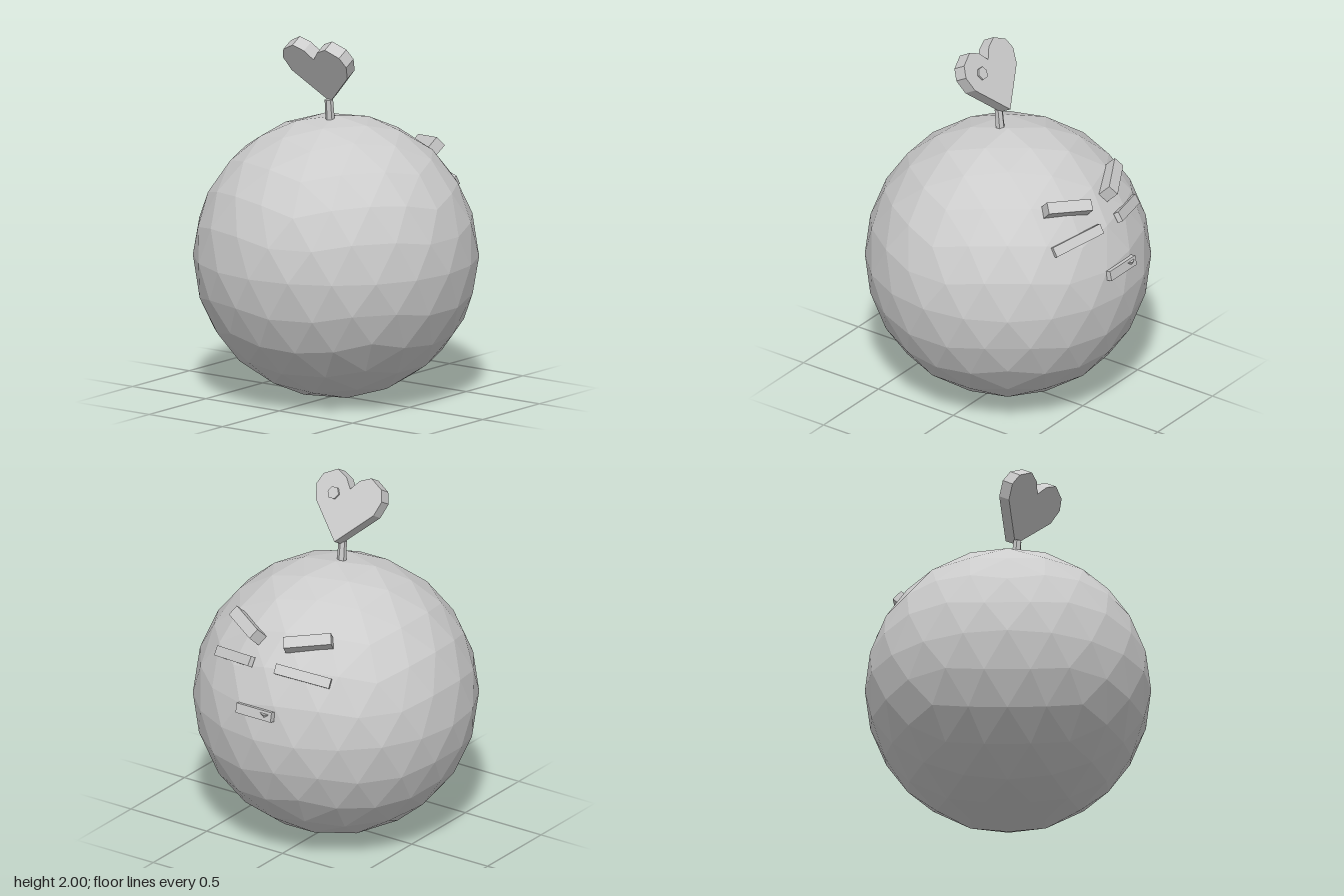
import * as THREE from 'three';

const R = 0.772, CY = 0.774;
const V = (x, y, z) => new THREE.Vector3(x, y, z);

// Icosphere with a vertex at each pole, split twice and pushed out to the sphere
function icosphere(radius, levels) {
  const h = 1 / Math.sqrt(5), r = 2 * h;
  const ring = (i, offset, y) => {
    const a = (i * 72 + offset) * Math.PI / 180;
    return V(r * Math.cos(a), y, -r * Math.sin(a));
  };
  const top = V(0, 1, 0), bottom = V(0, -1, 0);
  let tris = [];
  for (let i = 0; i < 5; i++) {
    const u0 = ring(i, 0, h), u1 = ring(i + 1, 0, h);
    const l0 = ring(i, 36, -h), l1 = ring(i + 1, 36, -h);
    tris.push([top, u0, u1], [u0, l0, u1], [l0, l1, u1], [bottom, l1, l0]);
  }
  const mid = (a, b) => a.clone().add(b).normalize();
  for (let n = 0; n < levels; n++) {
    tris = tris.flatMap(([a, b, c]) => {
      const ab = mid(a, b), bc = mid(b, c), ca = mid(c, a);
      return [[a, ab, ca], [ab, b, bc], [ca, bc, c], [ab, bc, ca]];
    });
  }
  const geo = new THREE.BufferGeometry().setFromPoints(tris.flat().map(p => p.clone().multiplyScalar(radius)));
  geo.computeVertexNormals();
  return geo;
}

export function createModel() {
  const group = new THREE.Group();
  const grey = new THREE.MeshStandardMaterial({ color: 0xcccccc, flatShading: true });
  grey.name = 'plain grey';

  const add = (name, geo, parent = group) => {
    const mesh = new THREE.Mesh(geo, grey);
    mesh.name = name;
    parent.add(mesh);
    return mesh;
  };

  // Round body
  add('body', icosphere(R, 2)).position.y = CY;

  // Bar lying on the body: size is length, height along the surface, thickness
  const bar = (name, centre, along, size) => {
    const mesh = add(name, new THREE.BoxGeometry(...size));
    const x = along.clone().normalize();
    const out = centre.clone().sub(V(0, CY, 0));
    const z = out.addScaledVector(x, -out.dot(x)).normalize();
    const y = z.clone().cross(x);
    mesh.quaternion.setFromRotationMatrix(new THREE.Matrix4().makeBasis(x, y, z));
    mesh.position.copy(centre);
  };

  // Brows and eyes, mirrored, on the back of the body
  for (const [side, s] of [['left', 1], ['right', -1]]) {
    bar(side + 'Brow', V(s * 0.2, 1.315, -0.542), V(s * 0.226, 0.035, 0.128), [0.262, 0.065, 0.08]);
    bar(side + 'Eye', V(s * 0.225, 1.157, -0.628), V(s * 0.293, -0.05, 0.1), [0.314, 0.056, 0.03]);
  }

  // Mouth with one small tooth
  bar('mouth', V(0, 0.932, -0.755), V(1, 0, 0), [0.23, 0.055, 0.033]);
  const tooth = add('tooth', new THREE.ConeGeometry(0.03, 0.045, 6));
  tooth.position.set(-0.07, 0.925, -0.757);
  tooth.rotation.x = Math.PI;

  // Short stem
  const stem = add('stem', new THREE.CylinderGeometry(0.023, 0.026, 0.14, 6));
  stem.position.set(0, 1.575, 0.056);
  stem.rotation.x = 0.1;

  // Heart-shaped leaf leaning forward, with its origin at the lower tip
  const leaf = new THREE.Group();
  leaf.name = 'leaf';
  leaf.position.set(0, 1.667, -0.016);
  leaf.rotation.x = Math.PI / 6;
  group.add(leaf);
  const half = [[0.19, 0.194], [0.215, 0.278], [0.19, 0.34], [0.11, 0.384], [0.045, 0.354]];
  const outline = [[0, 0], ...half, [0, 0.297], ...half.slice().reverse().map(([x, y]) => [-x, y])];
  const heart = new THREE.Shape(outline.map(([x, y]) => new THREE.Vector2(x, y)));
  add('heart', new THREE.ExtrudeGeometry(heart, { depth: 0.075, bevelEnabled: false }), leaf);

  // Small stud on the back of the heart
  const stud = add('stud', new THREE.CylinderGeometry(0.036, 0.036, 0.024, 6), leaf);
  stud.rotation.set(Math.PI / 2, Math.PI / 6, 0);
  stud.position.set(0.09, 0.253, 0);

  return group;
}
